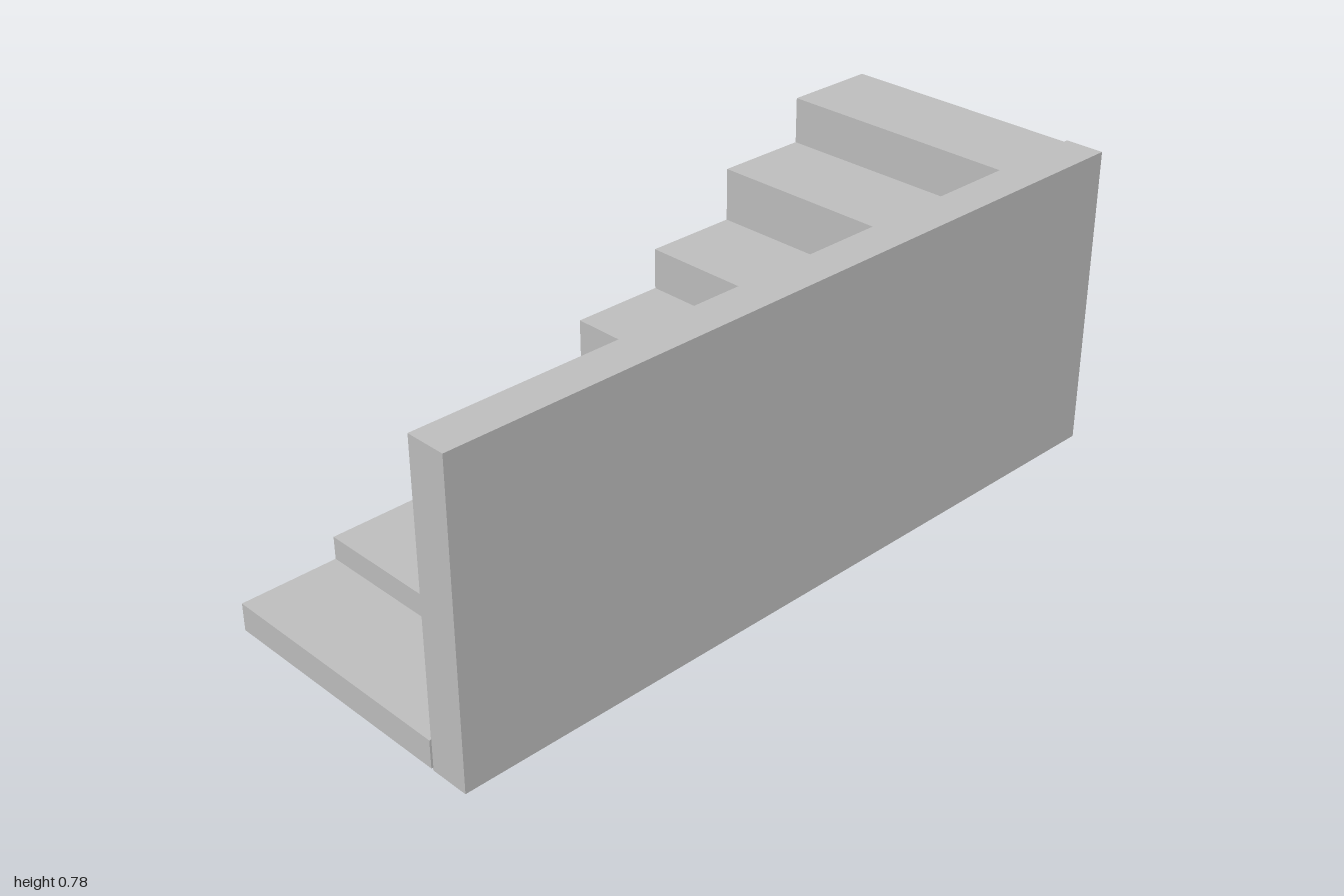
import * as THREE from 'three';

export function createModel() {
  const group = new THREE.Group();
  const concrete = new THREE.MeshStandardMaterial({ color: 0xbfbfbf });
  concrete.name = 'concrete grey';

  const left = 0.279, right = -0.38, base = 0.008, tread = 0.25;
  const heights = [0.079, 0.138, 0.21, 0.303, 0.414, 0.52, 0.658, 0.778];

  // Stepped side profile (z, y), extruded across the width
  const profile = new THREE.Shape();
  profile.moveTo(-1, base);
  profile.lineTo(1, base);
  heights.forEach((h, i) => {
    profile.lineTo(1 - i * tread, h);
    profile.lineTo(1 - (i + 1) * tread, h);
  });
  profile.closePath();
  const stairs = new THREE.ExtrudeGeometry(profile, { depth: left - right, bevelEnabled: false });
  stairs.rotateY(-Math.PI / 2).translate(left, 0, 0);
  const steps = new THREE.Mesh(stairs, concrete);
  steps.name = 'steps';
  group.add(steps);

  // Solid wall along the left side
  const wall = new THREE.Mesh(new THREE.BoxGeometry(0.102, 0.784, 1.995), concrete);
  wall.position.set(0.329, 0.392, -0.0025);
  wall.name = 'sideWall';
  group.add(wall);

  return group;
}
